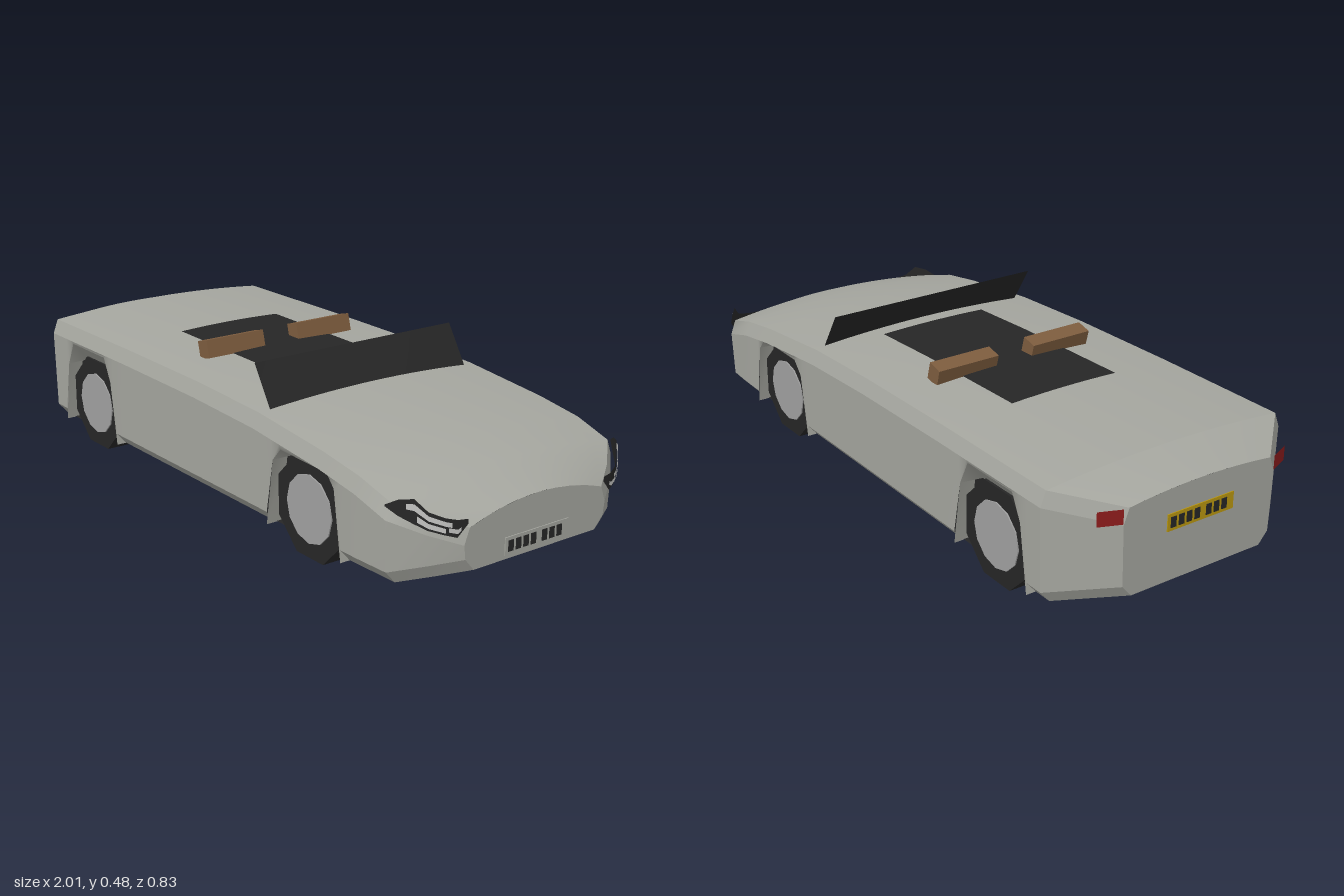
import * as THREE from 'three';

const mat = (name, color, side = THREE.DoubleSide) => {
  const m = new THREE.MeshStandardMaterial({ color, side });
  m.name = name;
  return m;
};

// Body stations: x, half width, crown height, shoulder height, bottom height
const STATIONS = [
  [-1, 0.255, 0.36, 0.345, 0.085], [-0.86, 0.41, 0.4, 0.38, 0.052], [-0.4, 0.41, 0.4, 0.38, 0.052],
  [0, 0.41, 0.393, 0.375, 0.052], [0.3, 0.41, 0.381, 0.363, 0.052], [0.6, 0.41, 0.355, 0.333, 0.052],
  [0.75, 0.41, 0.333, 0.31, 0.052], [0.87, 0.405, 0.307, 0.275, 0.052], [0.94, 0.33, 0.278, 0.24, 0.074],
  [0.995, 0.25, 0.25, 0.21, 0.09],
];
const lerpTable = (table, x) => {
  let i = 0;
  while (i < table.length - 2 && x > table[i + 1][0]) i++;
  const a = table[i], b = table[i + 1];
  const t = Math.min(1, Math.max(0, (x - a[0]) / (b[0] - a[0])));
  return a.map((v, k) => v + (b[k] - v) * t);
};

// Section points at x: underside edge, sill top, waist, shoulder, then crown
const section = (x) => {
  const [, hw, top, sh, bot] = lerpTable(STATIONS, x);
  const side = [[bot, hw - 0.03], [bot + 0.035, hw], [sh - 0.045, hw + 0.005], [sh, hw - 0.012]];
  const crown = (z) => sh + (top - sh) * (1 - (z / (hw - 0.012)) ** 2);
  return { side, crown, bot, hw, sh };
};

// Wheel arches, ordered by x: x, opening height
const makeArch = (cx, top) => [
  [cx - 0.166, 0.05], [cx - 0.136, 0.25], [cx - 0.1, top], [cx + 0.1, top], [cx + 0.136, 0.25], [cx + 0.166, 0.05],
];
const AXLES = [-0.634, 0.524];
const ARCHES = [makeArch(AXLES[0], 0.325), makeArch(AXLES[1], 0.29)];
const archY = (x) => {
  for (const a of ARCHES) if (x >= a[0][0] && x <= a[5][0]) return lerpTable(a, x)[1];
  return 0;
};

const STATION_X = STATIONS.map((s) => s[0]);
const ARCH_X = ARCHES.flat().map((p) => p[0]);
const between = (xs, a, b) => [...new Set([a, ...xs.filter((x) => x > a && x < b), b])].sort((p, q) => p - q);

// Surface through equal-length rows of points
const skin = (rows) => {
  const n = rows[0].length, index = [];
  for (let i = 0; i < rows.length - 1; i++) {
    for (let j = 0; j < n - 1; j++) {
      const a = i * n + j, b = a + n;
      index.push(a, b, b + 1, a, b + 1, a + 1);
    }
  }
  const g = new THREE.BufferGeometry();
  g.setAttribute('position', new THREE.Float32BufferAttribute(rows.flat(2), 3));
  g.setIndex(index);
  g.computeVertexNormals();
  return g;
};

// Head lamp outline: z, lower y, upper y
const LAMP = [
  [0.245, 0.222, 0.236], [0.275, 0.19, 0.238], [0.305, 0.2, 0.246], [0.34, 0.212, 0.262],
  [0.365, 0.228, 0.295], [0.39, 0.246, 0.289], [0.41, 0.268, 0.272],
];
const lampPatch = (z0, z1, v0, v1, lift) => skin(between(LAMP.map((p) => p[0]), z0, z1).map((z) => {
  const [, lo, hi] = lerpTable(LAMP, z);
  const t = (0.41 - z) / 0.165;
  const x = 0.866 + 0.13 * t + 0.033 * Math.sin(Math.PI * t) + lift;
  return [v0, v1].map((v) => [x, lo + (hi - lo) * v, z + lift * 0.6]);
}));

export function createModel() {
  const model = new THREE.Group();
  model.name = 'convertible';
  const paint = mat('silver paint', 0xa5a69f);
  const dark = mat('black trim', 0x262626);
  const hubGrey = mat('hub grey', 0xa0a0a0);
  const leather = mat('brown leather', 0x7d5c3e);
  const red = mat('tail red', 0x8e1c1c);
  const yellow = mat('plate yellow', 0xb8960f);
  const glass = mat('lamp glass', 0xc4c4c2);

  const add = (name, geometry, material, parent = model) => {
    const m = new THREE.Mesh(geometry, material);
    m.name = name;
    parent.add(m);
    return m;
  };
  const mirrored = (name, rows, material) => {
    add(name + 'Left', skin(rows.map((r) => r.map(([x, y, z]) => [x, y, -z])).reverse()), material);
    add(name + 'Right', skin(rows), material);
  };

  // Top deck, tail and main runs, with its crown
  const deckRow = (x) => {
    const { crown, hw } = section(x);
    return Array.from({ length: 17 }, (_, i) => {
      const z = (hw - 0.012) * (1 - i / 8);
      return [x, crown(z), z];
    });
  };
  add('tailDeck', skin([-1, -0.86].map(deckRow)), paint);
  add('topDeck', skin(between(STATION_X, -0.86, 0.995).map(deckRow)), paint);

  // Shoulder edges and the angled tail and nose corners
  const band = (xs, from, to) => xs.map((x) =>
    section(x).side.slice(from, to + 1).map(([y, z]) => [x, y, z]));
  mirrored('tailShoulder', band([-1, -0.86], 2, 3), paint);
  mirrored('shoulder', band(between(STATION_X, -0.86, 0.995), 2, 3), paint);
  mirrored('tailCorner', band([-1, -0.86], 1, 2), paint);
  mirrored('tailSill', band([-1, -0.86], 0, 1), paint);
  mirrored('noseCorner', band([0.87, 0.94, 0.995], 1, 2), paint);
  mirrored('noseSill', band([0.87, 0.94, 0.995], 0, 1), paint);

  // Flanks cut out around the wheels, and sills between the cuts
  mirrored('flank', between([...STATION_X, ...ARCH_X], -0.86, 0.87).map((x) => {
    const { side } = section(x);
    return [[x, Math.max(side[1][0], archY(x)), side[1][1]], [x, ...side[2]]];
  }), paint);
  const cuts = [-0.86, ARCHES[0][0][0], ARCHES[0][5][0], ARCHES[1][0][0], ARCHES[1][5][0], 0.87];
  for (let i = 0; i < 6; i += 2) mirrored('sill' + i / 2, band([cuts[i], cuts[i + 1]], 0, 1), paint);

  // Wheel wells with a sloping painted lip
  ARCHES.forEach((arch, i) => {
    const name = i ? 'front' : 'rear';
    mirrored(name + 'ArchLip', arch.map(([x, y]) => [[x, y, 0.41], [x, Math.min(y, 0.265), 0.36]]), paint);
    mirrored(name + 'Well', arch.map(([x, y]) => [[x, 0.05, 0.36], [x, Math.min(y, 0.265), 0.36]]), dark);
  });

  // Underside and flat end faces
  add('underside', skin([-1, -0.86, 0.87, 0.94, 0.995].map((x) => {
    const [y, z] = section(x).side[0];
    return [[x, y, -z], [x, y, z]];
  })), dark);
  for (const [name, x] of [['noseFace', 0.995], ['tailFace', -1]]) {
    const { side, crown } = section(x);
    const half = [...side, ...[0.75, 0.5, 0.25, 0].map((k) => [crown(side[3][1] * k), side[3][1] * k])];
    const rows = half.map(([y, z]) => [[x, y, z], [x, y, -z]]);
    add(name, skin(x > 0 ? rows : rows.reverse()), paint);
  }

  // Open cockpit floor, following the crown
  add('cockpit', skin([-0.425, -0.4, 0, 0.25].map((x) =>
    Array.from({ length: 9 }, (_, i) => {
      const z = 0.185 * (1 - i / 4);
      return [x, section(x).crown(z) + 0.003, z];
    }))), dark);

  // Seat backs
  for (const s of [-1, 1]) {
    const seat = add('seatBack', new THREE.BoxGeometry(0.05, 0.055, 0.208), leather);
    seat.position.set(-0.162, 0.413, s * 0.168);
    seat.rotation.z = 0.26;
  }

  // Raked windscreen
  add('windscreen', skin(Array.from({ length: 9 }, (_, i) => {
    const z = 0.362 * (1 - i / 4);
    return [[0.31, section(0.31).crown(z), z], [0.237, 0.482, z]];
  })), dark);

  // Wheels
  for (const x of AXLES) {
    for (const s of [-1, 1]) {
      const wheel = new THREE.Group();
      wheel.name = (x > 0 ? 'front' : 'rear') + 'Wheel';
      wheel.position.set(x, 0.143, s * 0.34);
      model.add(wheel);
      const tyre = add('tyre', new THREE.CylinderGeometry(0.155, 0.155, 0.09, 8)
        .rotateY(Math.PI / 8).rotateX(Math.PI / 2).toNonIndexed(), dark, wheel);
      tyre.geometry.computeVertexNormals();
      const hub = add('hub', new THREE.CylinderGeometry(0.1, 0.1, 0.006, 12).rotateX(Math.PI / 2), hubGrey, wheel);
      hub.position.z = s * 0.046;
    }
  }

  // Head lamps with glass inserts, and tail lamps
  const lamps = [
    ['lampFrame', lampPatch(0.245, 0.41, 0, 1, 0), dark],
    ['lampGlassTop', lampPatch(0.29, 0.378, 0.55, 0.82, 0.004), glass],
    ['lampGlassOuter', lampPatch(0.305, 0.36, 0.15, 0.42, 0.004), glass],
    ['lampGlassInner', lampPatch(0.265, 0.298, 0.25, 0.5, 0.004), glass],
    ['tailLamp', skin([[-0.999, 0.26], [-0.972, 0.325]].map(([x, z]) => [[x, 0.302, z], [x, 0.345, z]])), red],
  ];
  for (const [name, geometry, material] of lamps) {
    for (const s of [1, -1]) {
      const g = geometry.clone();
      if (s < 0) {
        g.scale(1, 1, -1);
        g.setIndex([...g.index.array].reverse());
        g.computeVertexNormals();
      }
      add(name, g, material);
    }
  }

  // Registration plates with plain dark blocks
  const BLOCKS = [0.095, 0.068, 0.041, 0.014, -0.026, -0.053, -0.08];
  for (const [name, x, y, material] of [['frontPlate', 0.995, 0.126, paint], ['rearPlate', -1, 0.26, yellow]]) {
    const s = Math.sign(x);
    add(name, new THREE.BoxGeometry(0.004, 0.05, 0.228), material).position.set(x + s * 0.001, y, 0);
    for (const z of BLOCKS) {
      add(name + 'Block', new THREE.BoxGeometry(0.004, 0.031, 0.018), dark).position.set(x + s * 0.003, y, z * s);
    }
  }
  return model;
}
